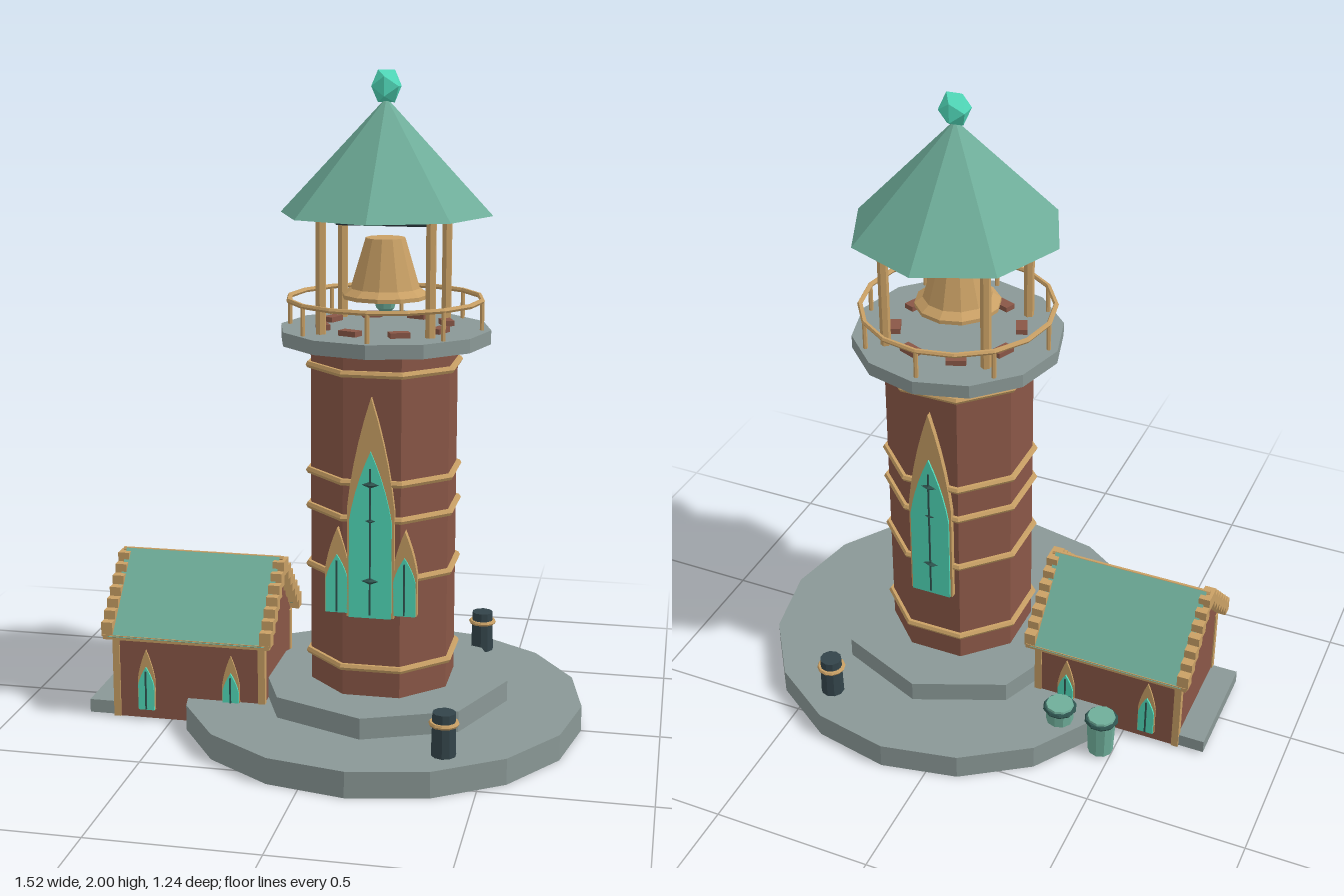
import * as THREE from 'three';

const mat = (color) => new THREE.MeshStandardMaterial({ color, flatShading: true });
const STONE = mat(0x8a9896), BRICK = mat(0x8a5747), GOLD = mat(0xc9a065), COPPER = mat(0x6fae9a);
const GLASS = mat(0x52dcbc), DARK = mat(0x33444a), LEAD = mat(0x2f5550);

function add(parent, name, geometry, material, x = 0, y = 0, z = 0) {
  const m = new THREE.Mesh(geometry, material);
  m.name = name;
  m.position.set(x, y, z);
  parent.add(m);
  return m;
}

function group(parent, name, x = 0, y = 0, z = 0) {
  const g = new THREE.Group();
  g.name = name;
  g.position.set(x, y, z);
  parent.add(g);
  return g;
}

const cyl = (rTop, rBottom, h, n) => new THREE.CylinderGeometry(rTop, rBottom, h, n);
const box = (w, h, d) => new THREE.BoxGeometry(w, h, d);

// Horizontal ring with a chosen number of sides
const ring = (r, tube, n, turn = 0) =>
  new THREE.TorusGeometry(r, tube, 6, n).rotateX(Math.PI / 2).rotateY(turn);

// Pointed arch plate standing on y = 0
function arch(w, spring, peak, depth) {
  const s = new THREE.Shape();
  s.moveTo(-w, 0);
  s.lineTo(w, 0);
  s.lineTo(w, spring);
  s.quadraticCurveTo(w * 0.75, spring + (peak - spring) * 0.5, 0, peak);
  s.quadraticCurveTo(-w * 0.75, spring + (peak - spring) * 0.5, -w, spring);
  return new THREE.ExtrudeGeometry(s, { depth, bevelEnabled: false, curveSegments: 5 });
}

// Framed pane with a lead bar; z = 0 is the back of the frame
function archWindow(parent, name, x, y, z, w, framePeak, panePeak, depth) {
  const g = group(parent, name, x, y, z);
  add(g, 'windowFrame', arch(w, framePeak * 0.5, framePeak, depth), GOLD);
  add(g, 'windowPane', arch(w * 0.9, panePeak * 0.58, panePeak, depth + 0.006), GLASS);
  add(g, 'windowBar', box(0.005, panePeak * 0.88, 0.006), LEAD, 0, panePeak * 0.46, depth + 0.007);
  return g;
}

function buildTower(root) {
  const t = group(root, 'tower', 0.14);
  const turn = Math.PI / 8;

  // Stepped base and shaft
  add(t, 'basePlatform', cyl(0.62, 0.62, 0.08, 16), STONE, 0, 0.04);
  add(t, 'baseStep', cyl(0.39, 0.39, 0.065, 8), STONE, 0, 0.1125);
  add(t, 'shaft', cyl(0.227, 0.227, 1.06, 8).rotateY(turn), BRICK, 0, 0.675);
  for (const y of [0.235, 0.515, 0.7, 0.81, 1.135])
    add(t, 'shaftBand', ring(0.232, 0.011, 8, turn), GOLD, 0, y);

  // Tall windows on front and back, side lights on the front only
  for (const side of ['front', 'back']) {
    const f = group(t, side + 'Windows');
    if (side === 'back') f.rotation.y = Math.PI;
    const tall = archWindow(f, 'tallWindow', 0, 0.4, 0.2, 0.071, 0.67, 0.51, 0.027);
    for (const [y, s] of [[0.115, 0.026], [0.3, 0.016], [0.41, 0.026]])
      add(tall, 'windowBoss', new THREE.OctahedronGeometry(s).scale(1, 0.4, 0.4), LEAD, 0, y, 0.033);
    if (side === 'front') for (const s of [-1, 1])
      archWindow(f, 'sideWindow', s * 0.102, 0.41, 0.196, 0.037, 0.26, 0.18, 0.025);
  }

  // Gallery with railing and floor blocks
  add(t, 'galleryFloor', cyl(0.32, 0.32, 0.042, 12), STONE, 0, 1.22);
  add(t, 'galleryRail', ring(0.292, 0.008, 16), GOLD, 0, 1.328);
  for (let i = 0; i < 8; i++) {
    const a = i * Math.PI / 4, b = a + turn;
    add(t, 'railPost', cyl(0.007, 0.007, 0.09, 6), GOLD, 0.292 * Math.sin(a), 1.284, 0.292 * Math.cos(a));
    add(t, 'floorBlock', box(0.06, 0.016, 0.035), BRICK, 0.19 * Math.sin(b), 1.249, 0.19 * Math.cos(b)).rotation.y = b;
  }

  // Roof on four posts
  for (const x of [-0.162, 0.162]) for (const z of [-0.162, 0.162])
    add(t, 'roofPost', cyl(0.016, 0.016, 0.35, 6), GOLD, x, 1.413, z);
  add(t, 'towerRoof', new THREE.ConeGeometry(0.32, 0.34, 8), COPPER, 0, 1.75);
  add(t, 'finial', new THREE.IcosahedronGeometry(0.048).scale(1, 1.15, 1), GLASS, 0, 1.953);

  // Bell, beam and clapper
  add(t, 'bellBeam', cyl(0.017, 0.017, 0.3, 8).rotateZ(Math.PI / 2), DARK, 0, 1.56);
  const profile = [[0, 0.18], [0.06, 0.18], [0.075, 0.13], [0.105, 0.03], [0.13, 0.012], [0.13, 0], [0.09, 0], [0.05, 0.15], [0, 0.16]]
    .map(([r, y]) => new THREE.Vector2(r, y)).reverse();
  const bell = add(t, 'bell', new THREE.LatheGeometry(profile, 12), GOLD.clone(), 0, 1.33);
  bell.material.side = THREE.DoubleSide;
  add(t, 'clapper', new THREE.SphereGeometry(0.032, 8, 6), COPPER, 0, 1.315);
}

function buildHouse(root) {
  const h = group(root, 'house', -0.44);

  // Walls with gables, extruded along x
  const s = new THREE.Shape([[-0.18, 0.005], [0.18, 0.005], [0.18, 0.27], [0, 0.485], [-0.18, 0.27]]
    .map(([z, y]) => new THREE.Vector2(z, y)));
  const walls = new THREE.ExtrudeGeometry(s, { depth: 0.48, bevelEnabled: false });
  add(h, 'houseWalls', walls.translate(0, 0, -0.24).rotateY(Math.PI / 2), BRICK);

  // Roof slopes, eaves and ridge
  const slope = Math.atan2(0.225, 0.21), len = Math.hypot(0.225, 0.21);
  for (const side of [-1, 1]) {
    add(h, 'roofSlope', box(0.5, 0.018, len), COPPER, 0, 0.382, side * 0.103).rotation.x = side * slope;
    add(h, 'eaveTrim', box(0.53, 0.014, 0.02), GOLD, 0, 0.273, side * 0.203);

    // Windows on both long walls
    const wall = group(h, side > 0 ? 'houseFront' : 'houseBack');
    if (side < 0) wall.rotation.y = Math.PI;
    for (const x of [-0.136, 0.136])
      archWindow(wall, 'houseWindow', x, 0.035, 0.17, 0.028, 0.195, 0.14, 0.016);

    // Crow-stepped gable edges and corner posts at both ends
    for (const end of [-1, 1]) {
      add(h, 'cornerPost', box(0.022, 0.265, 0.022), GOLD, end * 0.233, 0.1375, side * 0.174);
      for (let i = 0; i < 7; i++) {
        const k = (i + 0.5) / 7;
        add(h, 'gableStep', box(0.036, 0.046, 0.036), GOLD, end * 0.252, 0.283 + 0.2 * k, side * 0.208 * (1 - k));
      }
    }
  }
  add(h, 'ridge', cyl(0.008, 0.008, 0.52, 6).rotateZ(Math.PI / 2), GOLD, 0, 0.495);
  add(h, 'doorstep', box(0.1, 0.042, 0.355), STONE, -0.275, 0.029);
}

export function createModel() {
  const root = new THREE.Group();
  root.name = 'bellTower';
  buildTower(root);
  buildHouse(root);

  // Bollards on the platform
  for (const z of [-0.447, 0.447]) {
    const b = group(root, 'bollard', 0.397, 0.08, z);
    add(b, 'bollardPost', cyl(0.034, 0.037, 0.13, 10), DARK, 0, 0.065);
    add(b, 'bollardRing', ring(0.038, 0.007, 12), GOLD, 0, 0.097);
  }

  // Lidded bins behind the house
  for (const x of [-0.462, -0.323]) {
    const b = group(root, 'bin', x, 0, -0.285);
    add(b, 'binBody', cyl(0.045, 0.04, 0.125, 10), COPPER, 0, 0.0675);
    add(b, 'binRim', ring(0.046, 0.008, 10), LEAD, 0, 0.13);
    add(b, 'binLid', cyl(0.043, 0.046, 0.014, 10), COPPER, 0, 0.137);
  }
  return root;
}
